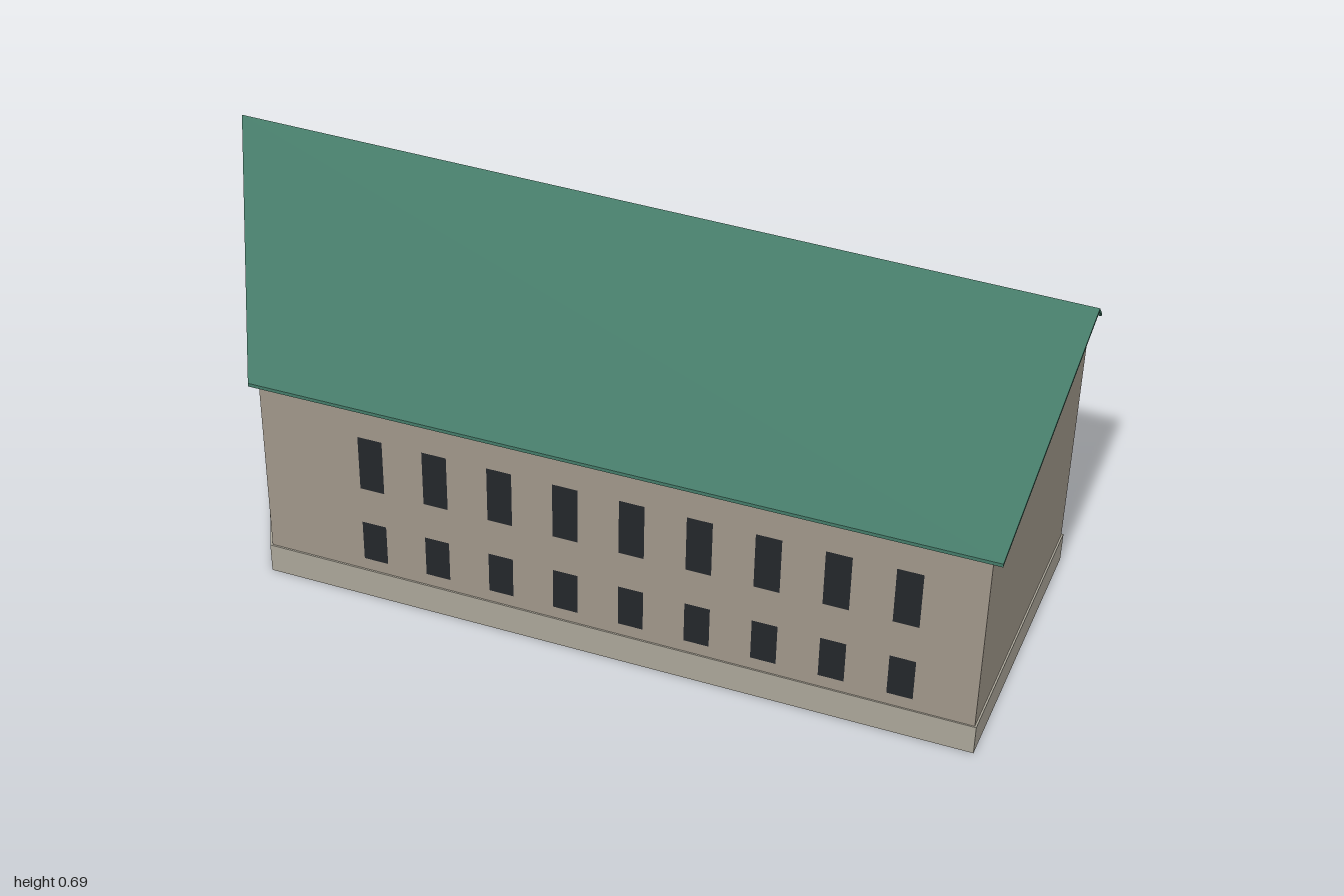
import * as THREE from 'three';

const mat = (color, side = THREE.FrontSide) => new THREE.MeshStandardMaterial({ color, side, flatShading: true });
const WALL = mat(0x9f9689), PLINTH = mat(0xaaa598), ROOF = mat(0x447a68);
const GLASS = mat(0x23262a), TRIM = mat(0x9c978d), SIGN = mat(0xa58583);

function add(parent, name, geometry, material, x = 0, y = 0, z = 0) {
  const mesh = new THREE.Mesh(geometry, material);
  mesh.name = name;
  mesh.position.set(x, y, z);
  parent.add(mesh);
  return mesh;
}

// Solid between a left and a right section, points counter-clockwise seen from +x
function span(left, right, openEdge = -1) {
  const pos = [];
  const tri = (a, b, c) => pos.push(...a, ...b, ...c);
  left.forEach((p, i) => {
    if (i === openEdge) return;
    const j = (i + 1) % left.length;
    tri(p, left[j], right[j]);
    tri(p, right[j], right[i]);
  });
  const cap = (s) => THREE.ShapeUtils.triangulateShape(s.map(([, y, z]) => new THREE.Vector2(-z, y)), []);
  cap(right).forEach(([a, b, c]) => tri(right[a], right[b], right[c]));
  cap(left).forEach(([a, b, c]) => tri(left[a], left[c], left[b]));
  const g = new THREE.BufferGeometry();
  g.setAttribute('position', new THREE.Float32BufferAttribute(pos, 3));
  g.computeVertexNormals();
  return g;
}

function rect(w, h, x = 0, y = 0, Type = THREE.Shape) {
  return new Type([[-1, -1], [1, -1], [1, 1], [-1, 1]].map(([a, b]) =>
    new THREE.Vector2(x + a * w / 2, y + b * h / 2)));
}

export function createModel() {
  const model = new THREE.Group();
  model.name = 'building';

  // Walls; the back is left open for the pierced wall
  const BACK = -0.357, slant = (z) => -0.97 + (z - BACK) * 0.38 / 0.702;
  add(model, 'walls', span(
    [[-0.97, 0.654, BACK], [slant(-0.33), 0.682, -0.33], [-0.59, 0.502, 0.345], [-0.59, 0.05, 0.345], [-0.97, 0.05, BACK]],
    [[0.978, 0.654, BACK], [0.978, 0.682, -0.33], [0.978, 0.502, 0.304], [0.978, 0.05, 0.304], [0.978, 0.05, BACK]], 4), WALL);

  // Plinth
  add(model, 'plinth', span(
    [[-0.977, 0.07, -0.36], [-0.594, 0.07, 0.349], [-0.594, 0, 0.349], [-0.977, 0, -0.36]],
    [[0.982, 0.07, -0.36], [0.982, 0.07, 0.307], [0.982, 0, 0.307], [0.982, 0, -0.36]]), PLINTH);

  // Roof: long front slope, short back slope, constant thickness
  const roofSection = (xb, xr, xf, zf) => [
    [xb, 0.66, -0.36], [xr, 0.69, -0.331], [xf, 0.51, zf],
    [xf, 0.502, zf], [xr, 0.682, -0.331], [xb, 0.652, -0.36]];
  add(model, 'roof', span(roofSection(-1, -0.984, -0.605, 0.363), roofSection(1, 1, 1, 0.318)), ROOF);

  const columns = Array.from({ length: 9 }, (_, i) => -0.34 + i * 0.145);
  const rows = [{ y: 0.15, h: 0.1 }, { y: 0.3575, h: 0.135 }];

  // Front windows, flush with the slightly angled front wall
  const front = new THREE.Group();
  front.name = 'frontWindows';
  front.position.set(-0.59, 0, 0.345);
  front.rotation.y = Math.atan2(0.041, 1.568);
  model.add(front);
  for (const x of columns) for (const { y, h } of rows) {
    add(front, 'frontWindow', new THREE.PlaneGeometry(0.055, h), GLASS, x + 0.59, y, 0.0012);
  }

  // Back wall group: local +z points outwards, local x is mirrored
  const back = new THREE.Group();
  back.name = 'backSide';
  back.position.z = BACK;
  back.rotation.y = Math.PI;
  model.add(back);
  const backShape = rect(1.948, 0.604, -0.004, 0.352);
  const openings = [...columns.map((x) => ({ x: -x, w: 0.058 })), { x: 0.768, w: 0.085, cross: true }];

  for (const { x, w, cross } of openings) for (const { y, h } of rows) {
    backShape.holes.push(rect(w, h, x, y, THREE.Path));
    // Reveal ring, glass and sill
    const ring = rect(w + 0.012, h + 0.012);
    ring.holes.push(rect(w, h, 0, 0, THREE.Path));
    add(back, 'windowReveal', new THREE.ExtrudeGeometry(ring, { depth: 0.0155, bevelEnabled: false }), TRIM, x, y, -0.016);
    add(back, 'windowGlass', new THREE.PlaneGeometry(w, h), GLASS, x, y, -0.015);
    add(back, 'windowSill', new THREE.BoxGeometry(w + 0.01, 0.005, 0.021), TRIM, x, y - h / 2 - 0.002, -0.0045);
    // Mullion and transom on the wide windows
    if (cross) {
      add(back, 'windowMullion', new THREE.BoxGeometry(0.005, h, 0.005), TRIM, x, y, -0.0125);
      add(back, 'windowTransom', new THREE.BoxGeometry(w, 0.005, 0.005), TRIM, x, y + h * 0.2, -0.0125);
    }
  }
  add(back, 'backWall', new THREE.ShapeGeometry(backShape), WALL);

  // Blank sign plate
  add(back, 'signPlate', new THREE.BoxGeometry(0.175, 0.034, 0.002), SIGN, -0.005, 0.563, 0.0005);

  return model;
}
